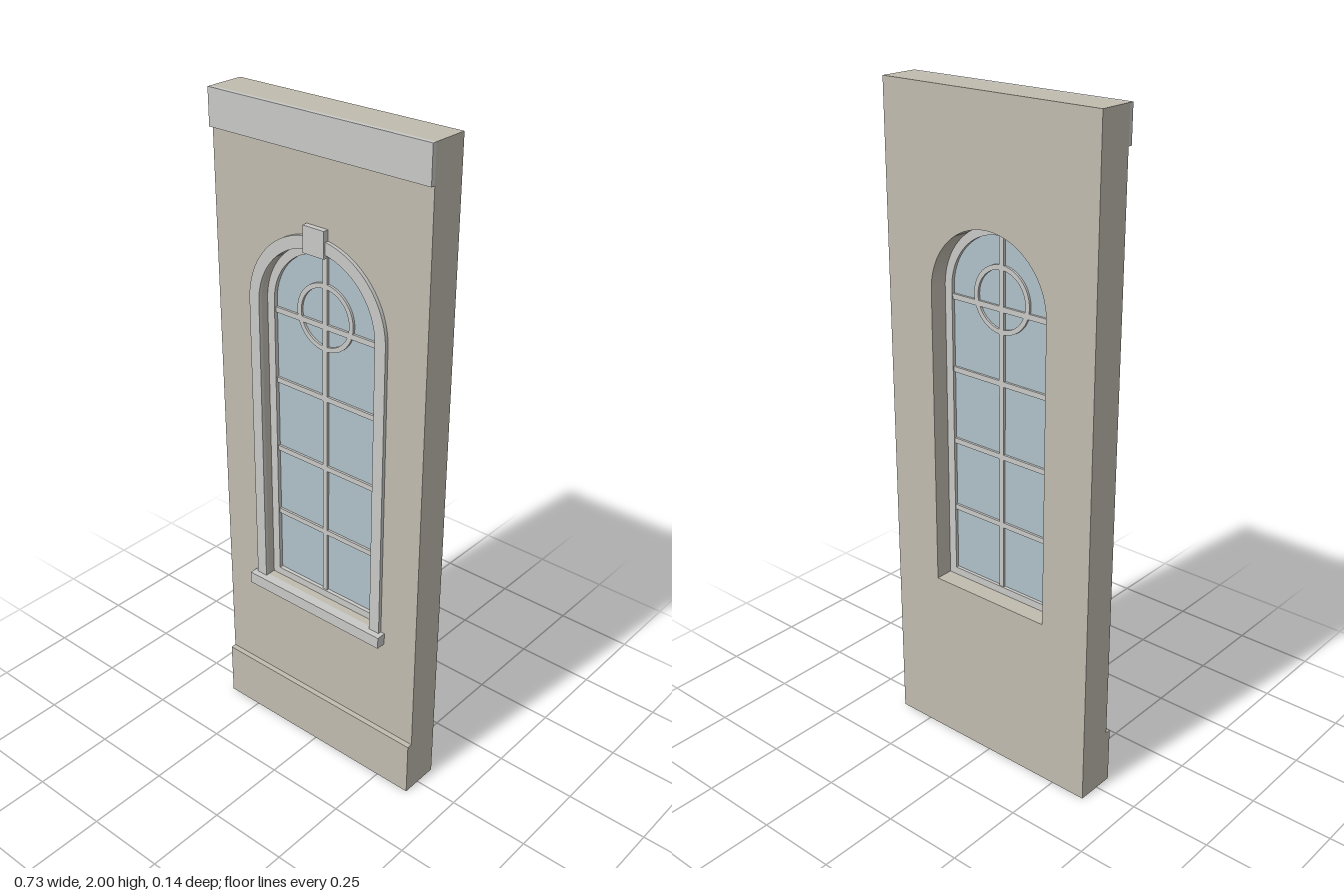
import * as THREE from 'three';

const SPRING = 1.44; // height where the arch starts

// Round-headed outline, traced counter-clockwise
function archPath(target, r, bottom) {
  target.moveTo(-r, bottom);
  target.lineTo(r, bottom);
  target.lineTo(r, SPRING);
  target.absarc(0, SPRING, r, 0, Math.PI, false);
  target.lineTo(-r, bottom);
  return target;
}

export function createModel() {
  const group = new THREE.Group();
  const stone = new THREE.MeshStandardMaterial({ name: 'wall stone', color: 0xc0bbaf });
  const pale = new THREE.MeshStandardMaterial({ name: 'pale trim', color: 0xc8c8c6 });
  const blue = new THREE.MeshStandardMaterial({ name: 'window glass', color: 0xb0c0c8 });

  const add = (name, geometry, material) => {
    const mesh = new THREE.Mesh(geometry, material);
    mesh.name = name;
    group.add(mesh);
    return mesh;
  };
  const box = (name, material, x0, x1, y0, y1, z0, z1) =>
    add(name, new THREE.BoxGeometry(x1 - x0, y1 - y0, z1 - z0), material)
      .position.set((x0 + x1) / 2, (y0 + y1) / 2, (z0 + z1) / 2);
  const slab = (name, material, shape, z0, z1) =>
    add(name, new THREE.ExtrudeGeometry(shape, { depth: z1 - z0, bevelEnabled: false, curveSegments: 32 }), material)
      .position.z = z0;

  const W = 0.3635, BACK = -0.069, FRONT = 0.039;
  const SILL = 0.532, OPEN = 0.203, PANE = 0.178, PANE_BOTTOM = 0.555;

  // Wall with arched opening
  const wall = new THREE.Shape();
  wall.moveTo(-W, 0).lineTo(W, 0).lineTo(W, 2).lineTo(-W, 2).lineTo(-W, 0);
  wall.holes.push(archPath(new THREE.Path(), OPEN, SILL));
  slab('wall', stone, wall, BACK, FRONT);

  // Base course and top band
  box('baseCourse', stone, -W, W, 0, 0.175, FRONT, 0.056);
  box('topBand', pale, -W, W, 1.895, 2, FRONT, 0.052);

  // Raised surround, open at the sill
  const R = 0.238;
  const surround = new THREE.Shape();
  surround.moveTo(OPEN, SILL).lineTo(R, SILL).lineTo(R, SPRING);
  surround.absarc(0, SPRING, R, 0, Math.PI, false);
  surround.lineTo(-R, SILL).lineTo(-OPEN, SILL).lineTo(-OPEN, SPRING);
  surround.absarc(0, SPRING, OPEN, Math.PI, 0, true);
  slab('surround', pale, surround, FRONT, 0.05);
  box('keystone', pale, -0.036, 0.036, 1.63, 1.706, FRONT, 0.056);
  box('sill', pale, -0.251, 0.251, 0.495, SILL, FRONT, 0.069);

  // Recessed window frame and glass
  const frame = archPath(new THREE.Shape(), OPEN, SILL);
  frame.holes.push(archPath(new THREE.Path(), PANE, PANE_BOTTOM));
  slab('windowFrame', pale, frame, -0.013, 0.015);
  slab('glass', blue, archPath(new THREE.Shape(), PANE, PANE_BOTTOM), -0.003, 0.003);

  // Glazing bars and ring
  const B = 0.008, D = 0.01;
  box('verticalBar', pale, -B, B, PANE_BOTTOM, SPRING + PANE, -D, D);
  for (const y of [0.76, 0.976, 1.198, 1.414])
    box('horizontalBar', pale, -PANE, PANE, y - B, y + B, -D, D);
  const ring = new THREE.Shape().absarc(0, SPRING, 0.098, 0, Math.PI * 2, false);
  ring.holes.push(new THREE.Path().absarc(0, SPRING, 0.084, 0, Math.PI * 2, true));
  slab('glazingRing', pale, ring, -D, D);

  return group;
}
